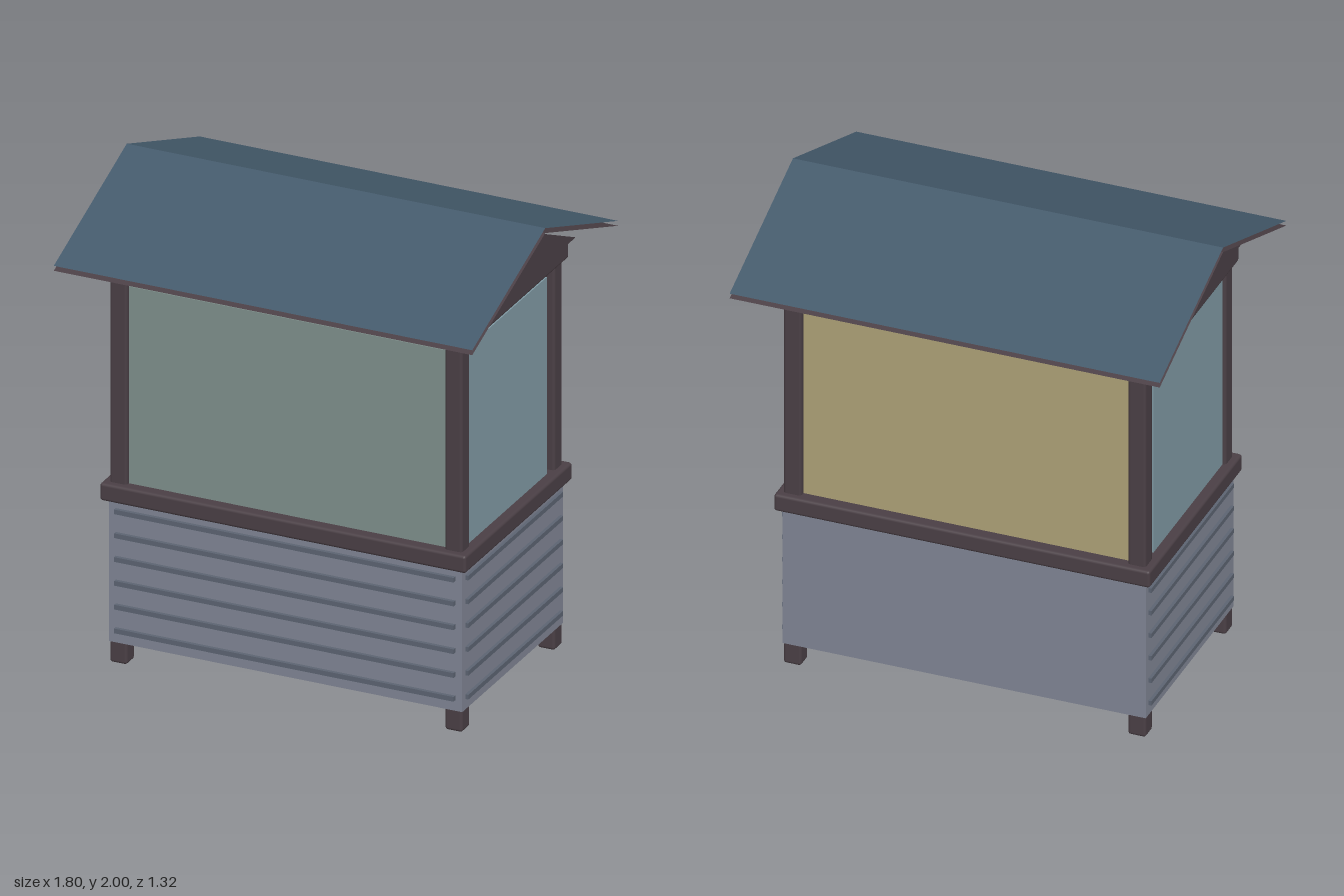
import * as THREE from 'three';
import { RoundedBoxGeometry } from 'three/addons/geometries/RoundedBoxGeometry.js';

const mat = (color, side = THREE.FrontSide) => new THREE.MeshStandardMaterial({ color, side });

export function createModel() {
  const model = new THREE.Group();
  model.name = 'marketBooth';

  const wood = mat(0x4a3f45);
  const woodThin = mat(0x4a3f45, THREE.DoubleSide);
  const wall = mat(0x808594);
  const slat = mat(0x5c6472);
  const roofing = mat(0x445a6b, THREE.DoubleSide);
  const frontGlass = mat(0x7f908c, THREE.DoubleSide);
  const sideGlass = mat(0x809aa4, THREE.DoubleSide);
  const backBoard = mat(0xaea277, THREE.DoubleSide);

  const add = (name, geometry, material, x, y, z) => {
    const mesh = new THREE.Mesh(geometry, material);
    mesh.name = name;
    mesh.position.set(x, y, z);
    model.add(mesh);
    return mesh;
  };
  const box = (name, material, w, h, d, x, y, z) =>
    add(name, new THREE.BoxGeometry(w, h, d), material, x, y, z);
  const rounded = (name, w, h, d, x, y, z) =>
    add(name, new RoundedBoxGeometry(w, h, d, 2, 0.012), wood, x, y, z);

  // Lower cabinet and counter
  box('cabinet', wall, 1.52, 0.6, 0.91, 0, 0.39, 0);
  rounded('counter', 1.574, 0.075, 0.966, 0, 0.735, 0);

  // Corner posts, running from the feet to the roof beams
  for (const x of [-0.721, 0.721])
    for (const z of [-0.417, 0.417])
      rounded('cornerPost', 0.075, 1.68, 0.075, x, 0.84, z);

  // Cladding strips on the front and both ends
  for (let i = 0; i < 6; i++) {
    const y = 0.145 + i * 0.102;
    box('frontSlat', slat, 1.46, 0.02, 0.03, 0, y, 0.455);
    for (const s of [-1, 1])
      box('endSlat', slat, 0.03, 0.02, 0.855, s * 0.758, y, 0);
  }

  // Top beams
  for (const s of [-1, 1]) {
    rounded('longBeam', 1.554, 0.085, 0.1, 0, 1.692, s * 0.423);
    rounded('endBeam', 0.1, 0.085, 0.946, s * 0.727, 1.692, 0);
  }

  // Window panes and rear board, with a gap below the beams
  const paneHeight = 0.855, paneY = 1.188;
  box('frontPane', frontGlass, 1.374, paneHeight, 0.01, 0, paneY, 0.43);
  box('rearBoard', backBoard, 1.374, paneHeight, 0.01, 0, paneY, -0.425);
  for (const s of [-1, 1])
    box('endPane', sideGlass, 0.01, paneHeight, 0.74, s * 0.74, paneY, 0.03);

  // Triangular gable boards
  const gable = new THREE.Shape([
    new THREE.Vector2(-0.53, 1.713),
    new THREE.Vector2(0.53, 1.713),
    new THREE.Vector2(0, 1.963),
  ]);
  for (const s of [-1, 1])
    add('gable', new THREE.ShapeGeometry(gable), woodThin, s * 0.778, 0, 0).rotation.y = Math.PI / 2;

  // Open-ended roof: a covering sheet over a wooden lining on each slope
  const run = 0.658, drop = 0.246;
  const slope = (name, material, ridge, s) => {
    const sheet = add(name, new THREE.PlaneGeometry(1.8, Math.hypot(run, drop)), material,
      0, ridge - drop / 2, s * run / 2);
    sheet.rotation.x = s * -Math.atan2(run, drop);
  };
  for (const s of [-1, 1]) {
    slope('roofSheet', roofing, 2.0, s);
    slope('roofLining', woodThin, 1.979, s);
  }

  return model;
}
